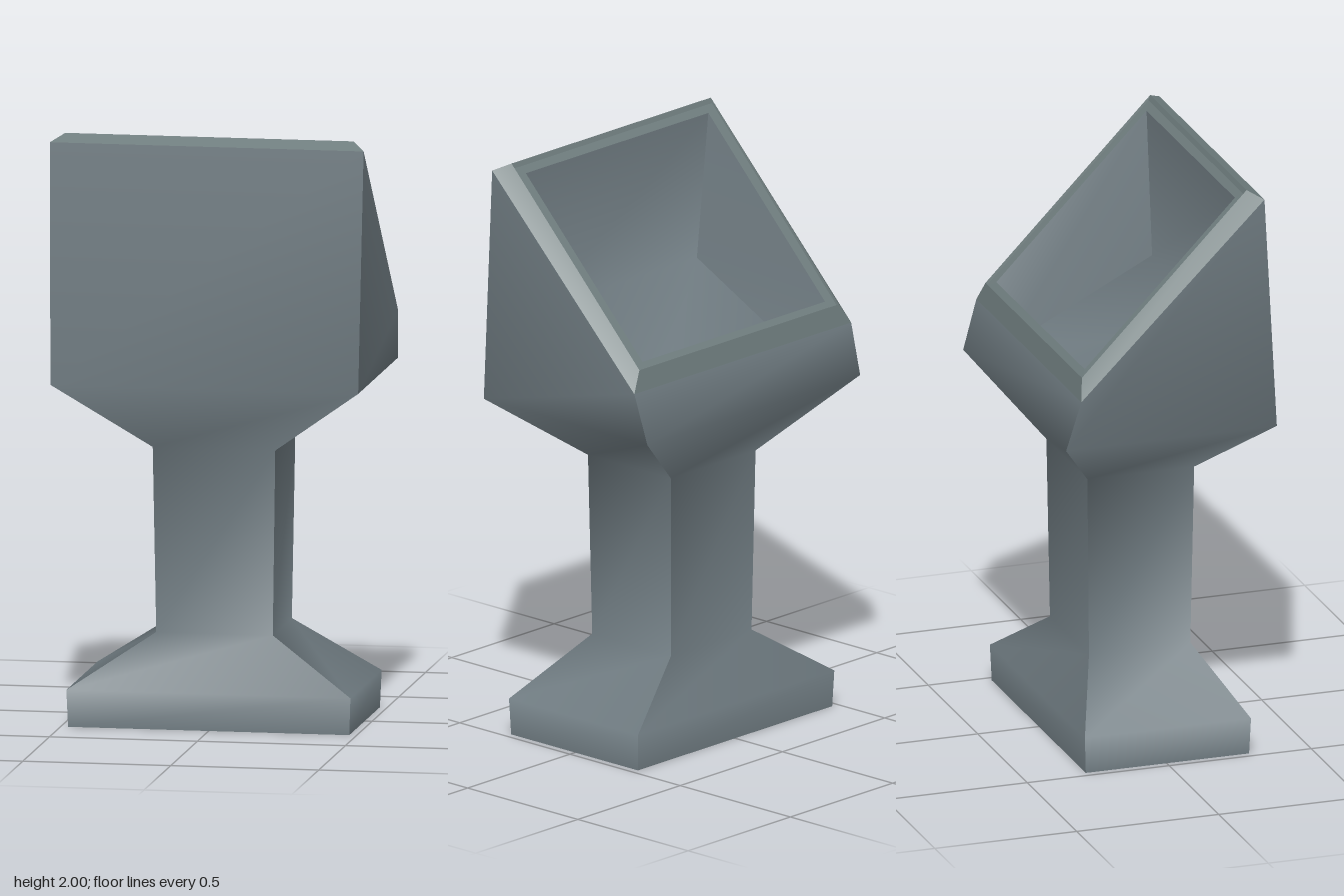
import * as THREE from 'three';

const bodyMat = new THREE.MeshStandardMaterial({ color: 0x707c82 });
bodyMat.name = 'slate grey';
const rimMat = new THREE.MeshStandardMaterial({ color: 0x6e7c7d });
rimMat.name = 'rim grey';

// A ring is a rectangle tilted about x: half width, front z and y, back z and y.
const ring = (hx, zF, yF, zB, yB) => [[-hx, yF, zF], [hx, yF, zF], [hx, yB, zB], [-hx, yB, zB]];

// Smooth strip through rows of [left, right] points, seen from outside.
function strip(rows) {
  const index = [];
  for (let i = 0; i < rows.length - 1; i++) {
    const a = i * 2;
    index.push(a, a + 1, a + 3, a, a + 3, a + 2);
  }
  const geo = new THREE.BufferGeometry();
  geo.setAttribute('position', new THREE.Float32BufferAttribute(rows.flat(2), 3));
  geo.setIndex(index);
  geo.computeVertexNormals();
  return geo;
}

function add(group, name, geo, mat) {
  const mesh = new THREE.Mesh(geo, mat);
  mesh.name = name;
  group.add(mesh);
}

// Four strips around a stack of rings, with sharp corners between them.
function loft(group, name, rings, mat) {
  ['Front', 'Right', 'Back', 'Left'].forEach((side, k) =>
    add(group, name + side, strip(rings.map(r => [r[k], r[(k + 1) % 4]])), mat));
}

export function createModel() {
  const model = new THREE.Group();
  model.name = 'pedestalConsole';

  // Foot, column and flared head
  const foot = ring(0.475, 0.29, 0, -0.285, 0);
  const headTop = ring(0.53, 0.325, 1.975, -0.32, 1.335);
  const body = new THREE.Group();
  body.name = 'body';
  loft(body, 'body', [
    foot,
    ring(0.48, 0.295, 0.125, -0.29, 0.125),
    ring(0.197, 0.18, 0.31, -0.177, 0.31),
    ring(0.207, 0.19, 0.935, -0.186, 0.935),
    ring(0.52, 0.372, 1.165, -0.37, 1.165),
    headTop,
  ], bodyMat);
  add(body, 'underside', strip([[foot[3], foot[2]], [foot[0], foot[1]]]), bodyMat);
  model.add(body);

  // Bevelled rim with a slightly lowered lip
  const rim = new THREE.Group();
  rim.name = 'rim';
  const crest = ring(0.487, 0.277, 2, -0.303, 1.405);
  const lipOuter = ring(0.485, 0.27, 1.983, -0.303, 1.393);
  const lipInner = ring(0.446, 0.25, 1.962, -0.279, 1.419);
  loft(rim, 'bevel', [headTop, crest], rimMat);
  loft(rim, 'step', [crest, lipOuter], rimMat);
  loft(rim, 'lip', [lipOuter, lipInner], rimMat);
  model.add(rim);

  // Recess: curved sheet down the front, over the floor and up the back
  const recess = new THREE.Group();
  recess.name = 'recess';
  const t = lipInner;
  const f = ring(0.39, 0.25, 1.47, -0.275, 1.2);
  add(recess, 'recessFloor', strip([[t[0], t[1]], [f[0], f[1]], [f[3], f[2]], [t[3], t[2]]]), bodyMat);
  add(recess, 'recessWallLeft', strip([[t[1], t[2]], [f[1], f[2]]]), bodyMat);
  add(recess, 'recessWallRight', strip([[t[3], t[0]], [f[3], f[0]]]), bodyMat);
  model.add(recess);

  return model;
}
